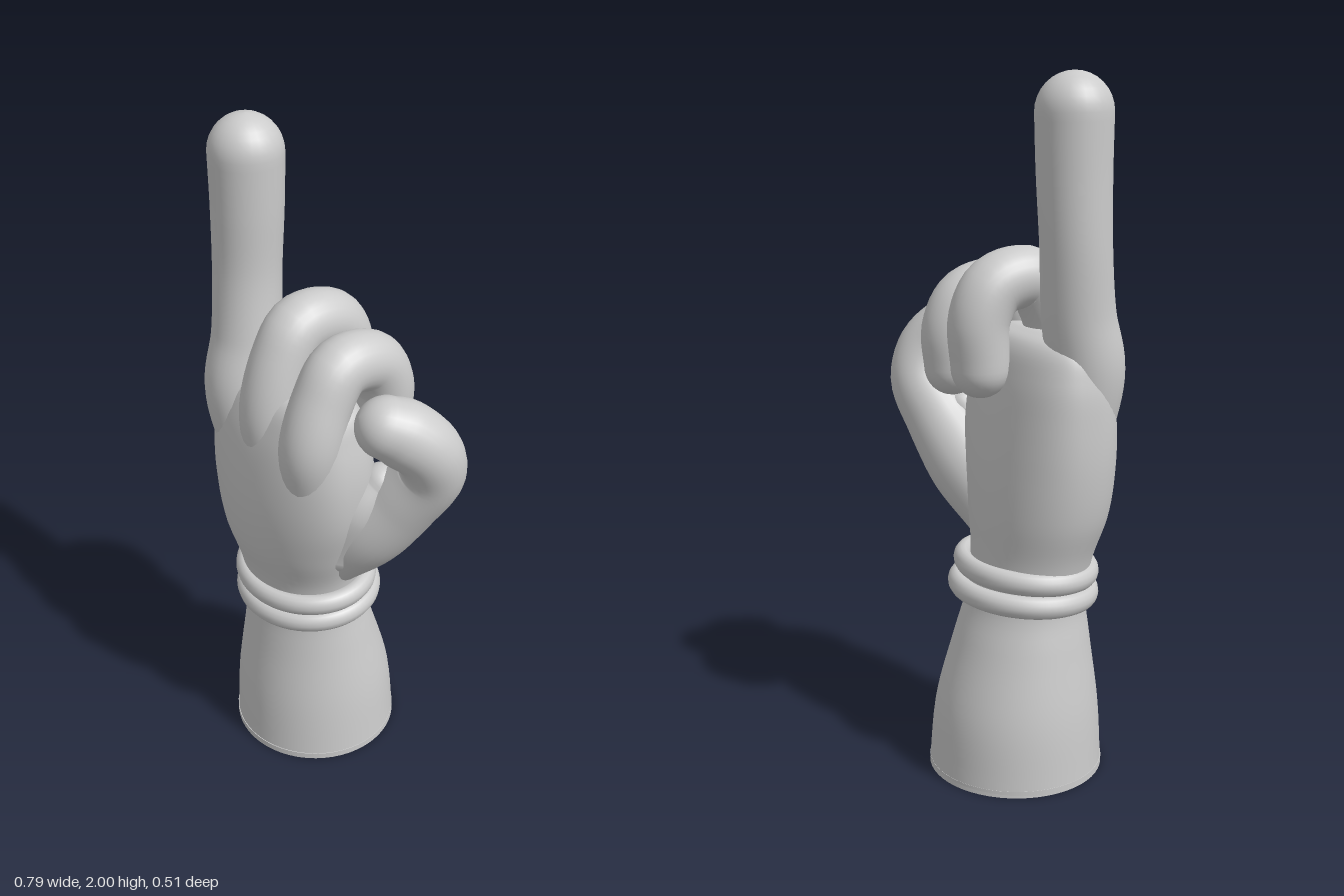
import * as THREE from 'three';

const material = new THREE.MeshStandardMaterial({ color: 0xcccccc });

// Skin a stack of rings (each an array of Vector3) with smooth normals and closed ends
function loft(name, rings) {
  const n = rings[0].length, pos = [], idx = [];
  rings.forEach(r => r.forEach(p => pos.push(p.x, p.y, p.z)));
  for (let i = 0; i < rings.length - 1; i++) {
    for (let j = 0; j < n; j++) {
      const k = (j + 1) % n;
      const a = i * n + j, b = i * n + k, c = a + n, d = b + n;
      idx.push(a, b, c, b, d, c);
    }
  }
  const geo = new THREE.BufferGeometry();
  geo.setAttribute('position', new THREE.Float32BufferAttribute(pos, 3));
  geo.setIndex(idx);
  geo.computeVertexNormals();
  const mesh = new THREE.Mesh(geo, material);
  mesh.name = name;
  return mesh;
}

// Round-ended limb along points [x, y, z, radius]
function limb(name, pts, sides = 28, steps = 40) {
  const path = new THREE.CatmullRomCurve3(pts.map(p => new THREE.Vector3(p[0], p[1], p[2])));
  const radius = new THREE.CatmullRomCurve3(pts.map((p, i) => new THREE.Vector3(p[3], i * 0.2, 0)));
  const frames = path.computeFrenetFrames(steps);
  const rings = [];
  const addRing = (i, shift, scale) => {
    const r = radius.getPoint(path.getUtoTmapping(i / steps)).x;
    const centre = path.getPointAt(i / steps).addScaledVector(frames.tangents[i], shift * r);
    const ring = [];
    for (let j = 0; j < sides; j++) {
      const a = j / sides * Math.PI * 2;
      ring.push(centre.clone()
        .addScaledVector(frames.normals[i], Math.cos(a) * r * scale)
        .addScaledVector(frames.binormals[i], Math.sin(a) * r * scale));
    }
    rings.push(ring);
  };
  const cap = 8;
  for (let k = 0; k < cap; k++) {
    const a = (1 - k / cap) * Math.PI / 2;
    addRing(0, -Math.sin(a), Math.max(Math.cos(a), 0.002));
  }
  for (let i = 0; i <= steps; i++) addRing(i, 0, 1);
  for (let k = 1; k <= cap; k++) {
    const a = k / cap * Math.PI / 2;
    addRing(steps, Math.sin(a), Math.max(Math.cos(a), 0.002));
  }
  return loft(name, rings);
}

// Upright body from sections [y, left x, right x, back z, front z, squareness]
function body(name, sections, sides = 56, steps = 60) {
  const track = k => new THREE.CatmullRomCurve3(
    sections.map(s => new THREE.Vector3(s[k], s[0], 0)), false, 'centripetal');
  const spans = sections.length - 1, rings = [];
  for (let i = 0; i <= steps; i++) {
    const t = i / steps * spans, s = Math.min(Math.floor(t), spans - 1), f = t - s;
    const [x0, x1, z0, z1] = [1, 2, 3, 4].map(k => track(k).getPoint(i / steps).x);
    const y = track(1).getPoint(i / steps).y;
    const power = 2 / THREE.MathUtils.lerp(sections[s][5], sections[s + 1][5], f);
    const bend = v => Math.sign(v) * Math.abs(v) ** power;
    const ring = [];
    for (let j = 0; j < sides; j++) {
      const a = j / sides * Math.PI * 2;
      ring.push(new THREE.Vector3(
        (x0 + x1) / 2 + bend(Math.sin(a)) * (x1 - x0) / 2, y,
        (z0 + z1) / 2 + bend(Math.cos(a)) * (z1 - z0) / 2));
    }
    rings.push(ring);
  }
  return loft(name, rings);
}

export function createModel() {
  const hand = new THREE.Group();
  hand.name = 'pointingHand';

  // Forearm, wrist and palm in one skin
  hand.add(body('forearmAndPalm', [
    [0.00, -0.367, 0.147, -0.255, 0.253, 2],
    [0.20, -0.355, 0.130, -0.235, 0.240, 2],
    [0.40, -0.323, 0.100, -0.175, 0.213, 2],
    [0.52, -0.305, 0.085, -0.135, 0.200, 2],
    [0.65, -0.325, 0.090, -0.120, 0.212, 2],
    [0.78, -0.365, 0.130, -0.118, 0.245, 2.1],
    [0.92, -0.385, 0.170, -0.110, 0.256, 2.2],
    [1.06, -0.388, 0.180, -0.090, 0.245, 2.4],
    [1.18, -0.380, 0.165, -0.065, 0.220, 2.5],
    [1.27, -0.350, 0.135, -0.030, 0.180, 2.4],
    [1.30, -0.260, 0.050, 0.020, 0.120, 2.2],
    [1.302, -0.110, -0.108, 0.070, 0.072, 2],
  ]));

  // Flat cut under the forearm
  const base = new THREE.Mesh(new THREE.CylinderGeometry(1, 1, 0.02, 56), material);
  base.scale.set(0.257, 1, 0.254);
  base.position.set(-0.11, 0.01, 0);
  base.name = 'forearmBase';
  hand.add(base);

  // Raised finger
  hand.add(limb('raisedFinger', [
    [-0.25, 0.98, 0.11, 0.09],
    [-0.277, 1.20, 0.125, 0.108],
    [-0.285, 1.36, 0.095, 0.102],
    [-0.297, 1.55, 0.077, 0.098],
    [-0.295, 1.75, 0.070, 0.102],
    [-0.295, 1.895, 0.068, 0.105],
  ]));

  // Curled fingers, folding over towards the palm side
  const curled = [
    ['curledMiddleFinger', -0.108, 0, 0.088],
    ['curledOuterFinger', 0.070, -0.055, 0.086],
  ];
  for (const [name, x, drop, r] of curled) {
    hand.add(limb(name, [
      [x * 0.9 - 0.01, 1.02, 0.14, r * 0.85],
      [x, 1.20 + drop * 0.5, 0.148, r * 1.03],
      [x, 1.36 + drop, 0.105, r],
      [x, 1.44 + drop, 0.045, r],
      [x, 1.425 + drop, -0.065, r],
      [x, 1.34 + drop, -0.115, r * 0.98],
      [x, 1.20 + drop * 0.5, -0.112, r * 0.94],
    ]));
  }

  // Thumb, hooking back up to the front
  hand.add(limb('thumb', [
    [0.01, 0.72, 0.02, 0.10],
    [0.115, 0.86, -0.03, 0.125],
    [0.215, 0.99, -0.08, 0.108],
    [0.286, 1.10, -0.108, 0.096],
    [0.297, 1.19, -0.075, 0.095],
    [0.260, 1.25, -0.015, 0.097],
    [0.240, 1.272, 0.022, 0.088],
  ]));

  // Web between thumb and palm
  hand.add(limb('thumbWeb', [
    [0.05, 0.80, 0.04, 0.10],
    [0.125, 0.95, 0.02, 0.085],
    [0.165, 1.03, -0.03, 0.06],
  ]));

  // Two tilted wrist bands
  [[0.61, 0.205, 0.178, 0.035], [0.545, 0.205, 0.188, 0.026]].forEach(([y, rx, rz, z], i) => {
    const ring = new THREE.Mesh(new THREE.TorusGeometry(1, 0.145, 14, 64), material);
    ring.rotation.x = Math.PI / 2;
    ring.scale.set(rx, rz, 0.225);
    const band = new THREE.Group();
    band.name = 'wristBand' + (i + 1);
    band.add(ring);
    band.position.set(-0.105, y, z);
    band.rotation.set(0.06, 0, 0.015);
    hand.add(band);
  });

  return hand;
}
